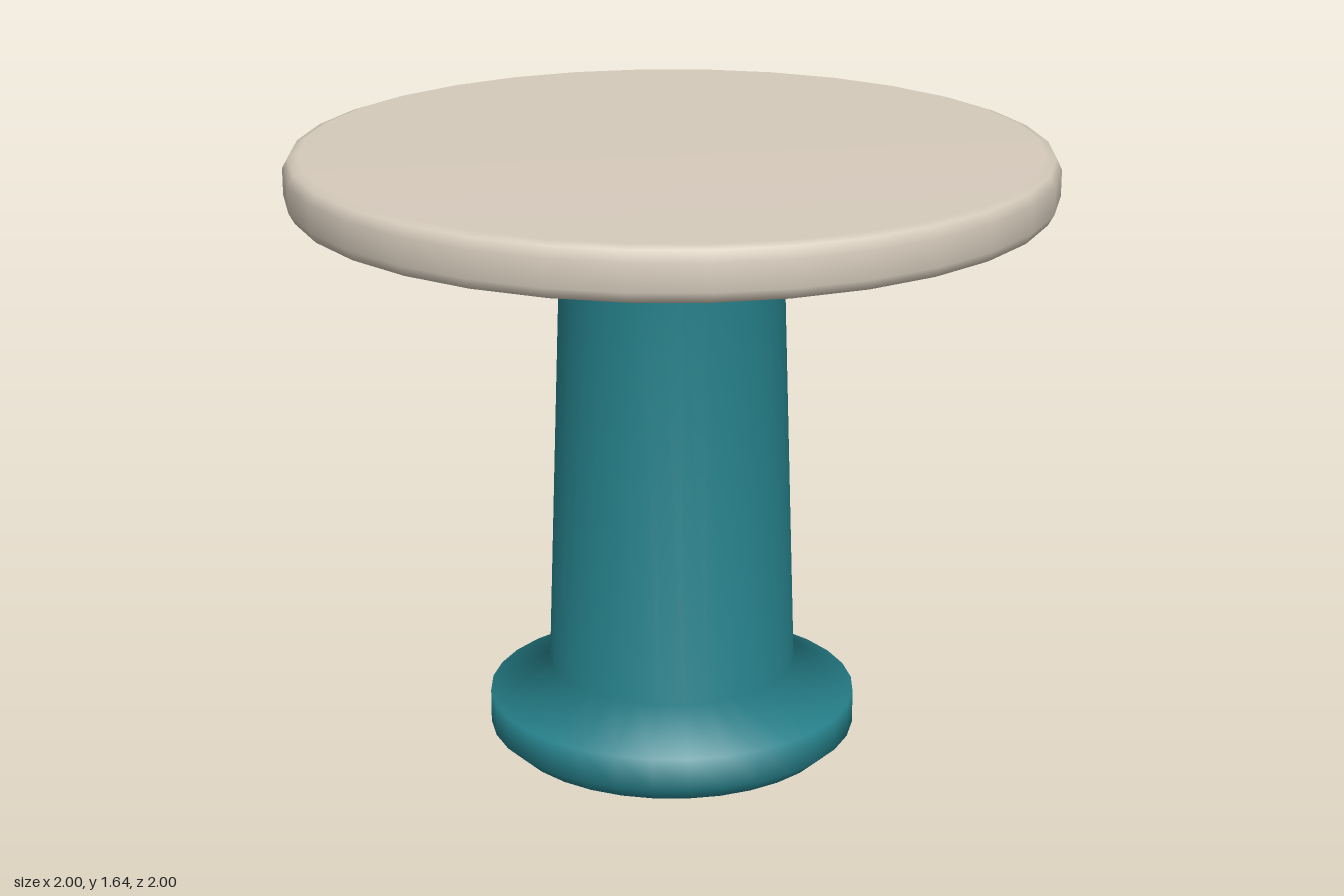
import * as THREE from 'three';

const stone = new THREE.MeshStandardMaterial({ color: 0xd6cbbc });
stone.name = 'warm stone';
const teal = new THREE.MeshStandardMaterial({ color: 0x26818b });
teal.name = 'teal';

// Turned part from a profile of [radius, height] pairs, bottom to top
function turned(name, profile, material) {
  const points = profile.map(([r, y]) => new THREE.Vector2(r, y));
  const mesh = new THREE.Mesh(new THREE.LatheGeometry(points, 32), material);
  mesh.name = name;
  return mesh;
}

export function createModel() {
  const table = new THREE.Group();
  table.name = 'roundPedestalTable';

  // Round slab with softened rims
  table.add(turned('tableTop', [
    [0, 1.5], [0.96, 1.5], [0.985, 1.508], [1, 1.535],
    [1, 1.605], [0.985, 1.632], [0.96, 1.64], [0, 1.64],
  ], stone));

  // Tapered column with flared foot and collar
  table.add(turned('pedestal', [
    [0.445, 0], [0.495, 0.045], [0.495, 0.135],
    [0.333, 0.22], [0.292, 1.44], [0.37, 1.5],
  ], teal));

  // Flat underside of the foot
  const underside = new THREE.Mesh(new THREE.CircleGeometry(0.445, 32), teal);
  underside.name = 'footUnderside';
  underside.rotation.x = Math.PI / 2;
  table.add(underside);

  return table;
}
